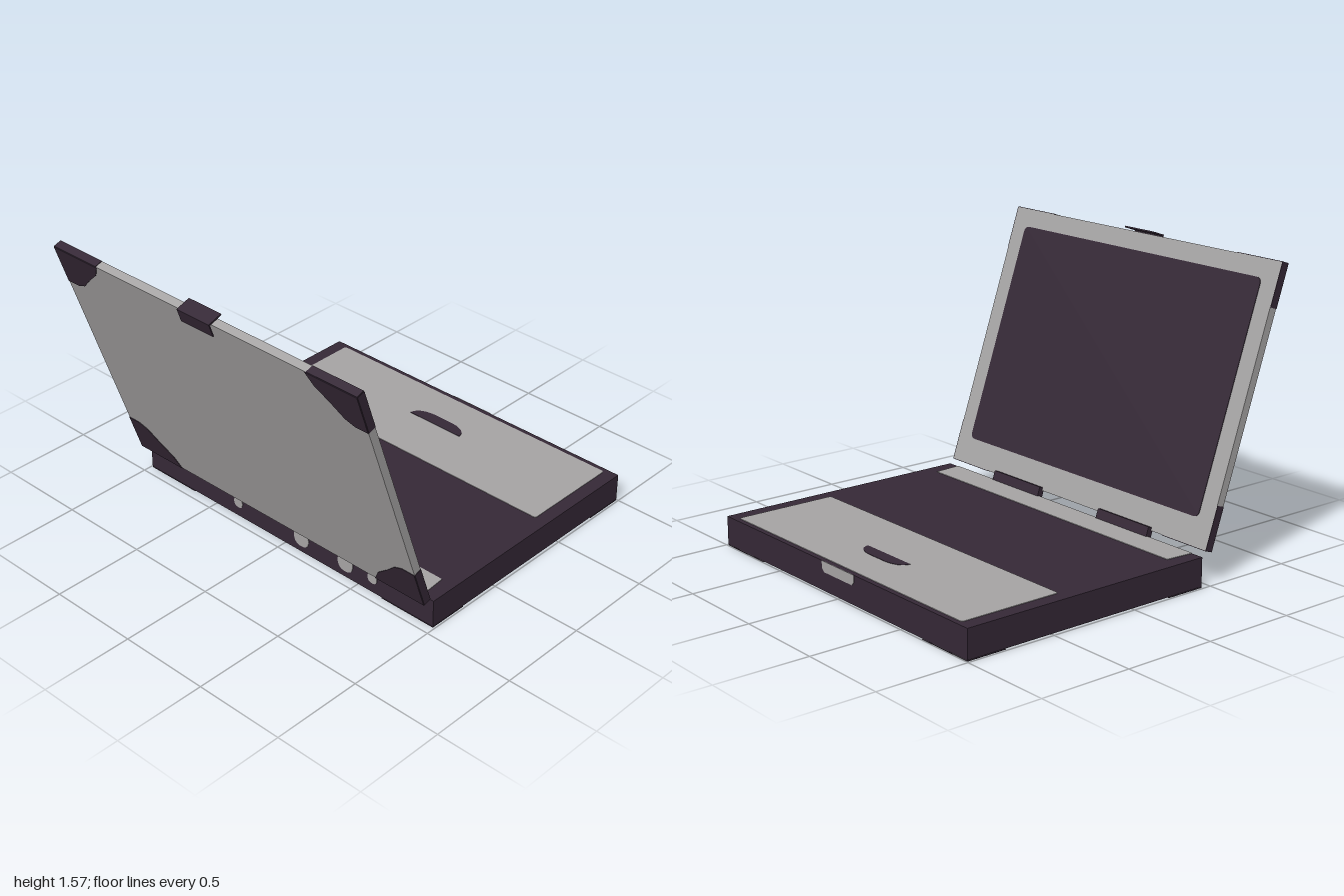
import * as THREE from 'three';

const dark = new THREE.MeshStandardMaterial({ color: 0x35293a });
dark.name = 'dark plum plastic';
dark.color.set(0x352836);
const gray = new THREE.MeshStandardMaterial({ color: 0xa6a4a4 });
gray.name = 'gray plastic';

// Rotations that turn a plate's outward side toward each face
const FACE = {
  front: [0, Math.PI / 2, 0],   // shape x -> -z, faces +x
  back: [0, -Math.PI / 2, 0],   // shape x -> +z, faces -x
  top: [-Math.PI / 2, 0, 0],    // shape y -> -z, faces +y
  bottom: [Math.PI / 2, 0, 0],  // shape y -> +z, faces -y
};

function box(parent, name, mat, size, pos) {
  const m = new THREE.Mesh(new THREE.BoxGeometry(...size), mat);
  m.name = name;
  m.position.set(...pos);
  parent.add(m);
  return m;
}

function plate(parent, name, mat, shape, face, pos, depth = 0.003) {
  const geo = new THREE.ExtrudeGeometry(shape, { depth, bevelEnabled: false, curveSegments: 8 });
  const m = new THREE.Mesh(geo, mat);
  m.name = name;
  m.rotation.set(...FACE[face]);
  m.position.set(...pos);
  parent.add(m);
  return m;
}

const polygon = (pts) => new THREE.Shape(pts.map(([x, y]) => new THREE.Vector2(x, y)));

function roundedRect(x0, y0, x1, y1, r) {
  const s = new THREE.Shape();
  s.moveTo(x0 + r, y0);
  s.lineTo(x1 - r, y0);
  s.quadraticCurveTo(x1, y0, x1, y0 + r);
  s.lineTo(x1, y1 - r);
  s.quadraticCurveTo(x1, y1, x1 - r, y1);
  s.lineTo(x0 + r, y1);
  s.quadraticCurveTo(x0, y1, x0, y1 - r);
  s.lineTo(x0, y0 + r);
  s.quadraticCurveTo(x0, y0, x0 + r, y0);
  return s;
}

// Blunt triangular guard at a corner; dx, dy are the signed reaches inward
const cornerShape = (x, y, dx, dy) => polygon(
  [[0, 0], [1, 0], [0.88, 0.3], [0.62, 0.62], [0.42, 0.9], [0.25, 1], [0, 1]]
    .map(([u, v]) => [x + u * dx, y + v * dy]));

function buildBase() {
  const g = new THREE.Group();
  g.name = 'base';
  box(g, 'baseBody', dark, [1.445, 0.151, 1.98], [0.2725, 0.0815, 0]);

  // Top deck panels
  plate(g, 'hingeStrip', gray,
    polygon([[-0.45, -0.92], [-0.295, -0.908], [-0.295, 0.908], [-0.45, 0.92]]), 'top', [0, 0.157, 0]);
  plate(g, 'palmRest', gray, roundedRect(0.405, -0.917, 0.968, 0.917, 0.015), 'top', [0, 0.157, 0]);

  // D-shaped pointing pad
  const pad = new THREE.Shape();
  pad.moveTo(0.705, -0.16);
  pad.quadraticCurveTo(0.765, -0.155, 0.775, -0.06);
  pad.lineTo(0.775, 0.08);
  pad.quadraticCurveTo(0.765, 0.18, 0.705, 0.185);
  plate(g, 'pointingPad', dark, pad, 'top', [0, 0.16, 0], 0.002);

  // Front latch recess
  const latch = polygon([[-0.133, 0.158], [-0.133, 0.12], [-0.115, 0.103],
    [0.115, 0.103], [0.13, 0.12], [0.13, 0.158]]);
  plate(g, 'frontCatch', gray, latch, 'front', [0.995, 0, 0]);

  // Rear ports
  for (const [z, r] of [[-0.33, 0.03], [0.12, 0.05], [0.42, 0.05], [0.6, 0.03]]) {
    plate(g, 'rearPort', gray, roundedRect(z - r, 0.09 - r, z + r, 0.09 + r, r), 'back', [-0.45, 0, 0]);
  }

  // Underside panel with corner guards
  plate(g, 'undersidePanel', gray, roundedRect(-0.447, -0.985, 0.992, 0.985, 0.005), 'bottom', [0, 0.006, 0]);
  for (const s of [-1, 1]) {
    plate(g, 'undersideCorner', dark, cornerShape(0.995, s * 0.99, -0.22, -s * 0.33), 'bottom', [0, 0.003, 0]);
    plate(g, 'undersideCorner', dark, cornerShape(-0.45, s * 0.99, 0.22, -s * 0.33), 'bottom', [0, 0.003, 0]);
  }
  return g;
}

function buildLid() {
  const H = 1.437, W = 0.987, T = 0.044;
  const g = new THREE.Group();
  g.name = 'lid';
  g.position.set(-0.4935, 0.1775, 0);
  g.rotation.z = 0.3295;

  box(g, 'lidBody', gray, [T, H, 2 * W], [0, H / 2, 0]);
  plate(g, 'screen', dark, roundedRect(-0.887, 0.14, 0.887, 1.342, 0.035), 'front', [T / 2, 0, 0]);

  // Corner guards wrap the back face and both edges
  for (const s of [-1, 1]) {
    for (const top of [0, 1]) {
      const y = top * H, inward = top ? -1 : 1;
      plate(g, 'lidCornerBack', dark, cornerShape(s * W, y, -s * 0.31, inward * 0.225), 'back', [-T / 2, 0, 0]);
      box(g, 'lidCornerSide', dark, [T, 0.225, 0.003], [0, y + inward * 0.1125, s * (W + 0.0015)]);
      box(g, 'lidCornerEdge', dark, [T, 0.003, 0.3], [0, y - inward * 0.0015, s * (W - 0.15)]);
    }
  }

  // Latch hooked over the top edge
  box(g, 'latchTop', dark, [0.082, 0.008, 0.21], [0.002, H + 0.012, 0]);
  box(g, 'latchBack', dark, [0.006, 0.075, 0.21], [-0.036, H - 0.022, 0]);
  return g;
}

export function createModel() {
  const model = new THREE.Group();
  model.name = 'laptop';
  model.add(buildBase(), buildLid());

  // Hinges
  for (const s of [-1, 1]) {
    const h = box(model, 'hinge', dark, [0.034, 0.064, 0.375], [-0.463, 0.172, s * 0.417]);
    h.rotation.z = 0.3295;
  }
  return model;
}
